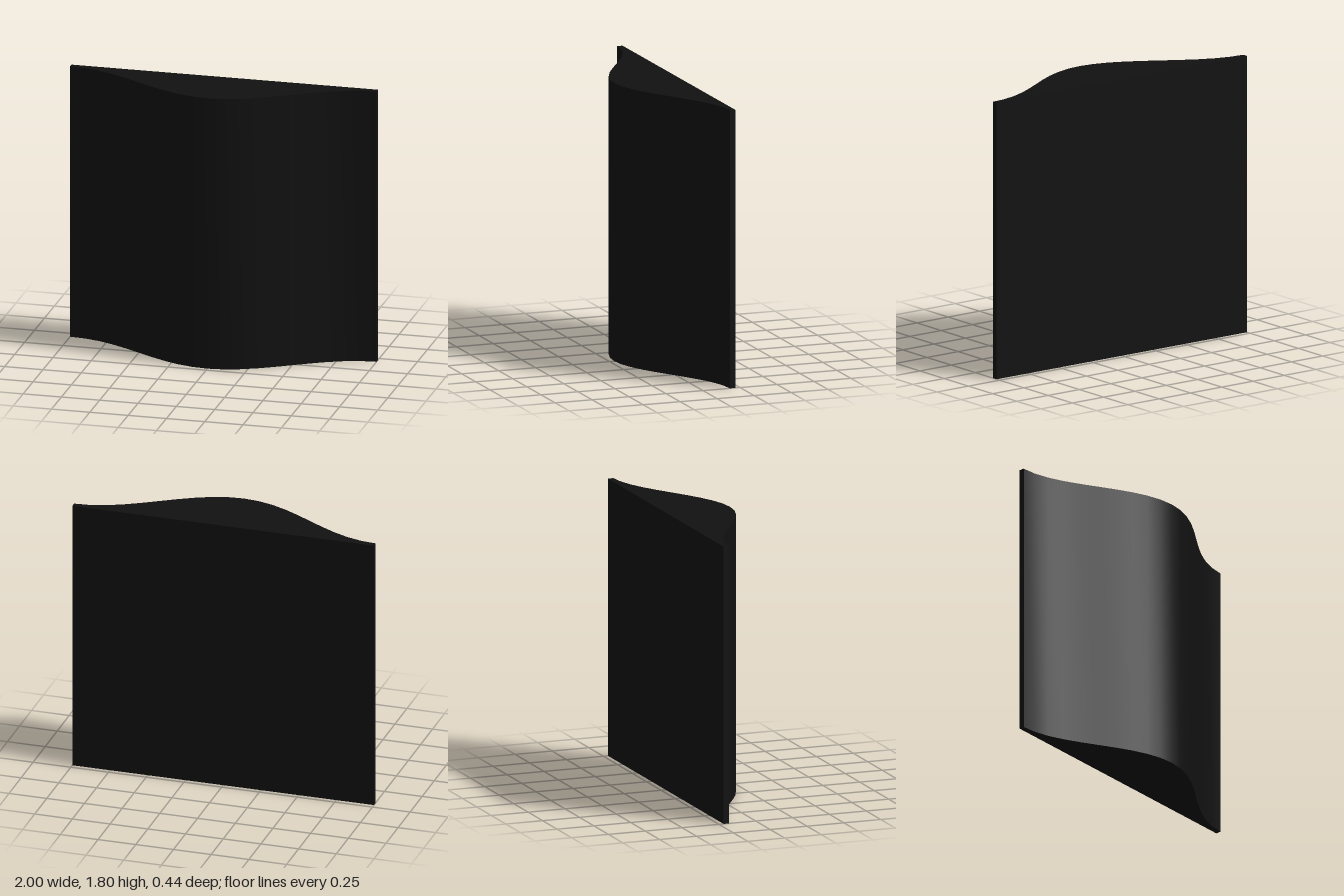
import * as THREE from 'three';
import { toCreasedNormals } from 'three/addons/utils/BufferGeometryUtils.js';

const HEIGHT = 1.8;
const HALF_WIDTH = 1;
const BACK = -0.218;
const SEGMENTS = 20;

// Depth of the curved front face: one full cosine wave across the width
const frontDepth = (x) => 0.018 + 0.2 * Math.cos(Math.PI * x);

export function createModel() {
  const group = new THREE.Group();
  group.name = 'curvedPanel';

  // Plan outline, drawn with shape y = -z: flat back, wavy front
  const outline = new THREE.Shape();
  outline.moveTo(HALF_WIDTH, -BACK);
  outline.lineTo(-HALF_WIDTH, -BACK);
  for (let i = 0; i <= SEGMENTS; i++) {
    const x = -HALF_WIDTH + (2 * HALF_WIDTH * i) / SEGMENTS;
    outline.lineTo(x, -frontDepth(x));
  }
  outline.closePath();

  // Raise the outline to full height, smooth along the curve, sharp at the edges
  const geometry = new THREE.ExtrudeGeometry(outline, { depth: HEIGHT, bevelEnabled: false });
  geometry.rotateX(-Math.PI / 2);

  const panel = new THREE.Mesh(
    toCreasedNormals(geometry, Math.PI / 6),
    new THREE.MeshStandardMaterial({ color: 0x111111 })
  );
  panel.name = 'panel';
  group.add(panel);
  return group;
}
